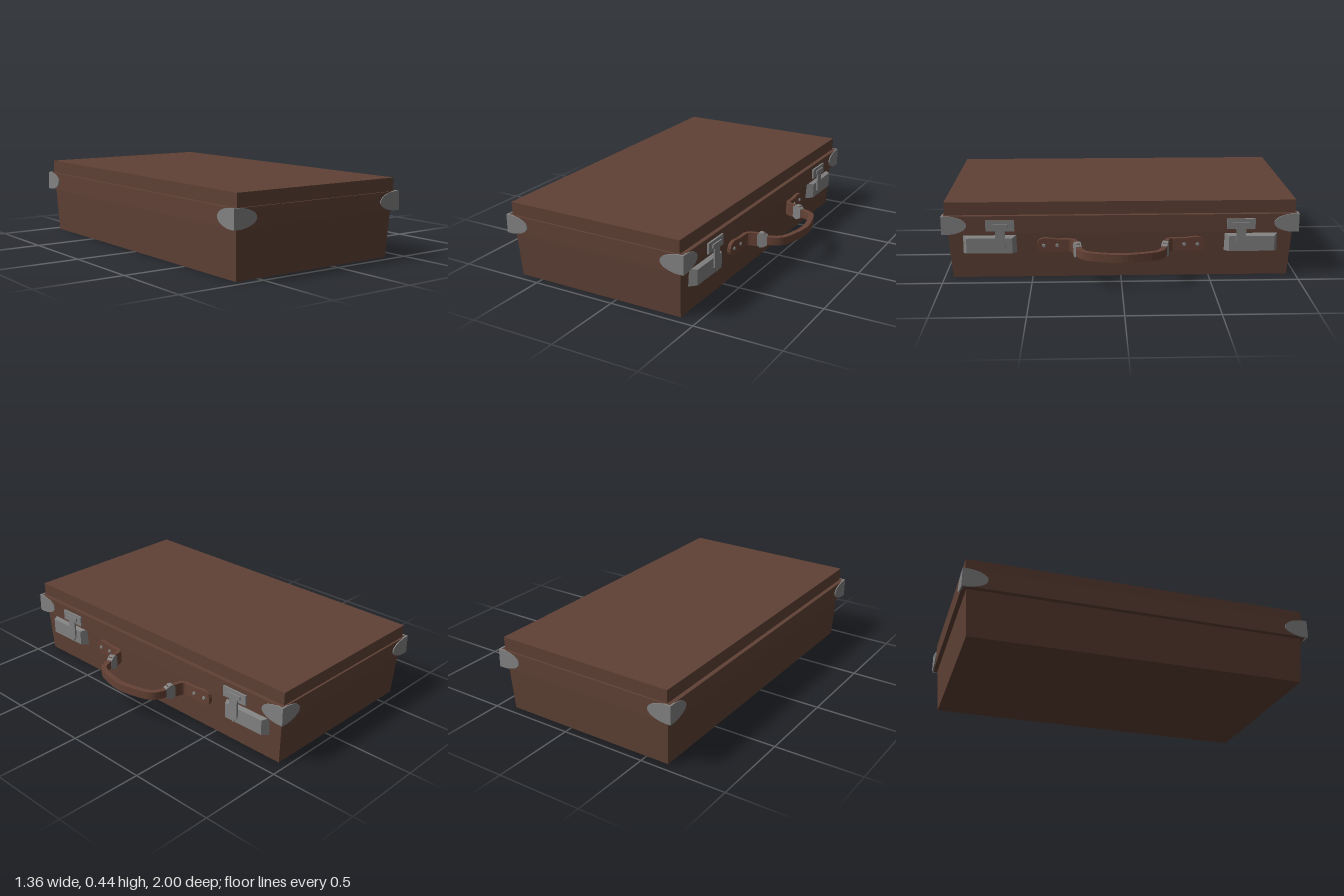
import * as THREE from 'three';

const material = (name, color, double) => {
  const m = new THREE.MeshStandardMaterial({ color });
  m.name = name;
  return m;
};

export function createModel() {
  const leather = material('brown leather', 0x5f4135);
  const strap = material('strap leather', 0x654235);
  const metal = material('grey metal', 0x828282);

  const model = new THREE.Group();
  model.name = 'suitcase';
  const CX = -0.117; // centre of the case, the handle sticks out on +x

  const add = (name, geometry, mat, x = 0, y = 0, z = 0, ry = 0) => {
    const mesh = new THREE.Mesh(geometry, mat);
    mesh.name = name;
    mesh.position.set(x, y, z);
    mesh.rotation.y = ry;
    model.add(mesh);
    return mesh;
  };

  // Box with different half sizes at the bottom and the top
  function taperedBox(bx, bz, tx, tz, y0, y1) {
    const g = new THREE.BoxGeometry(2, 1, 2);
    const p = g.attributes.position;
    for (let i = 0; i < p.count; i++) {
      const top = p.getY(i) > 0;
      p.setXYZ(i, p.getX(i) * (top ? tx : bx), top ? y1 : y0, p.getZ(i) * (top ? tz : bz));
    }
    g.computeVertexNormals();
    return g;
  }

  // Flat strap following a path of [x, z, half height]
  function ribbon(path, yMid, thickness) {
    const up = new THREE.Vector3(0, 1, 0);
    const rings = path.map(([x, z, h], i) => {
      const a = path[Math.max(i - 1, 0)], b = path[Math.min(i + 1, path.length - 1)];
      const t = new THREE.Vector3(b[0] - a[0], 0, b[1] - a[1]).normalize();
      const n = new THREE.Vector3().crossVectors(up, t).multiplyScalar(thickness / 2);
      return [[1, 1], [-1, 1], [-1, -1], [1, -1]].map(([s, v]) =>
        [x + s * n.x, yMid + v * h, z + s * n.z]);
    });
    const pos = [];
    const quad = (a, b, c, d) => [a, b, c, a, c, d].forEach((v) => pos.push(...v));
    for (let i = 0; i < rings.length - 1; i++) {
      for (let j = 0; j < 4; j++) {
        const k = (j + 1) % 4;
        quad(rings[i][j], rings[i][k], rings[i + 1][k], rings[i + 1][j]);
      }
    }
    const s = rings[0], e = rings[rings.length - 1];
    quad(s[3], s[2], s[1], s[0]);
    quad(e[0], e[1], e[2], e[3]);
    const g = new THREE.BufferGeometry();
    g.setAttribute('position', new THREE.Float32BufferAttribute(pos, 3));
    g.computeVertexNormals();
    return g;
  }

  const plate = (shape, depth) =>
    new THREE.ExtrudeGeometry(shape, { depth, bevelEnabled: false, curveSegments: 8 });

  // Case: flared base, overhanging rim, lid
  add('base', taperedBox(0.517, 0.951, 0.53, 0.97, 0, 0.28), leather, CX);
  add('rim', taperedBox(0.559, 0.994, 0.559, 0.994, 0.268, 0.371), leather, CX);
  add('lid', taperedBox(0.534, 0.982, 0.535, 0.984, 0.36, 0.445), leather, CX);

  // Rounded metal guards wrapping the four rim corners
  function guardShape(dir) {
    const s = new THREE.Shape();
    s.moveTo(0, -0.053);
    s.lineTo(dir * 0.035, -0.053);
    s.bezierCurveTo(dir * 0.085, -0.05, dir * 0.14, -0.03, dir * 0.14, 0);
    s.bezierCurveTo(dir * 0.14, 0.03, dir * 0.085, 0.05, dir * 0.035, 0.053);
    s.lineTo(0, 0.053);
    s.closePath();
    return s;
  }
  for (const sx of [-1, 1]) {
    for (const sz of [-1, 1]) {
      const x = CX + sx * 0.565, y = 0.319;
      add('cornerGuardEnd', plate(guardShape(-sx), 0.01), metal, x, y, sz > 0 ? 0.99 : -1);
      add('cornerGuardSide', plate(guardShape(sz), 0.01), metal,
        sx > 0 ? x - 0.01 : x, y, sz, Math.PI / 2);
    }
  }

  // T-shaped hasp with a pointed tip
  const hasp = new THREE.Shape([
    [-0.045, 0.328], [-0.045, 0.308], [-0.027, 0.3], [-0.027, 0.19], [0, 0.158],
    [0.027, 0.19], [0.027, 0.3], [0.045, 0.308], [0.045, 0.328],
  ].map(([x, y]) => new THREE.Vector2(x, y)));

  for (const s of [-1, 1]) {
    // Latch: bevelled lower box, rim plate and hasp
    const box = taperedBox(0.052, 0.152, 0.044, 0.128, 0, 0.045);
    box.rotateZ(-Math.PI / 2);
    add('latchBox', box, metal, 0.405, 0.2, s * 0.736);
    add('latchPlate', new THREE.BoxGeometry(0.016, 0.06, 0.16), metal, 0.445, 0.316, s * 0.674);
    add('latchHasp', plate(hasp, 0.01), metal, 0.451, 0, s * 0.674, Math.PI / 2);

    // Handle tab: rounded end on the wall, bent outward towards the grip
    const tab = [
      [0.42, 0.472, 0.012], [0.42, 0.464, 0.029], [0.42, 0.45, 0.039], [0.42, 0.43, 0.044],
      [0.42, 0.4, 0.042], [0.42, 0.36, 0.036], [0.421, 0.29, 0.036], [0.428, 0.272, 0.037],
      [0.445, 0.262, 0.039], [0.525, 0.239, 0.039],
    ].map(([x, z, h]) => [x, s * z, h]);
    add('handleTab', ribbon(tab, 0.193, 0.022), strap);
    for (const z of [0.358, 0.433]) {
      const rivet = new THREE.CylinderGeometry(0.008, 0.012, 0.008, 12);
      rivet.rotateZ(-Math.PI / 2);
      add('rivet', rivet, metal, 0.434, 0.193, s * z);
    }
    // Tapered metal clasp joining tab and grip
    const clasp = [[0.483, 0.251, 0.03], [0.497, 0.247, 0.043], [0.515, 0.242, 0.043],
      [0.538, 0.235, 0.027]].map(([x, z, h]) => [x, s * z, h]);
    add('handleClasp', ribbon(clasp, 0.193, 0.034), metal);
  }

  // Grip: curved strap between the clasps
  const curve = new THREE.CatmullRomCurve3([
    [0.51, -0.243], [0.575, -0.224], [0.613, -0.195], [0.643, -0.11], [0.66, 0],
    [0.643, 0.11], [0.613, 0.195], [0.575, 0.224], [0.51, 0.243],
  ].map(([x, z]) => new THREE.Vector3(x, 0, z)));
  const grip = curve.getPoints(32).map((p) => [p.x, p.z, 0.023]);
  add('handleGrip', ribbon(grip, 0.193, 0.03), strap);

  return model;
}
